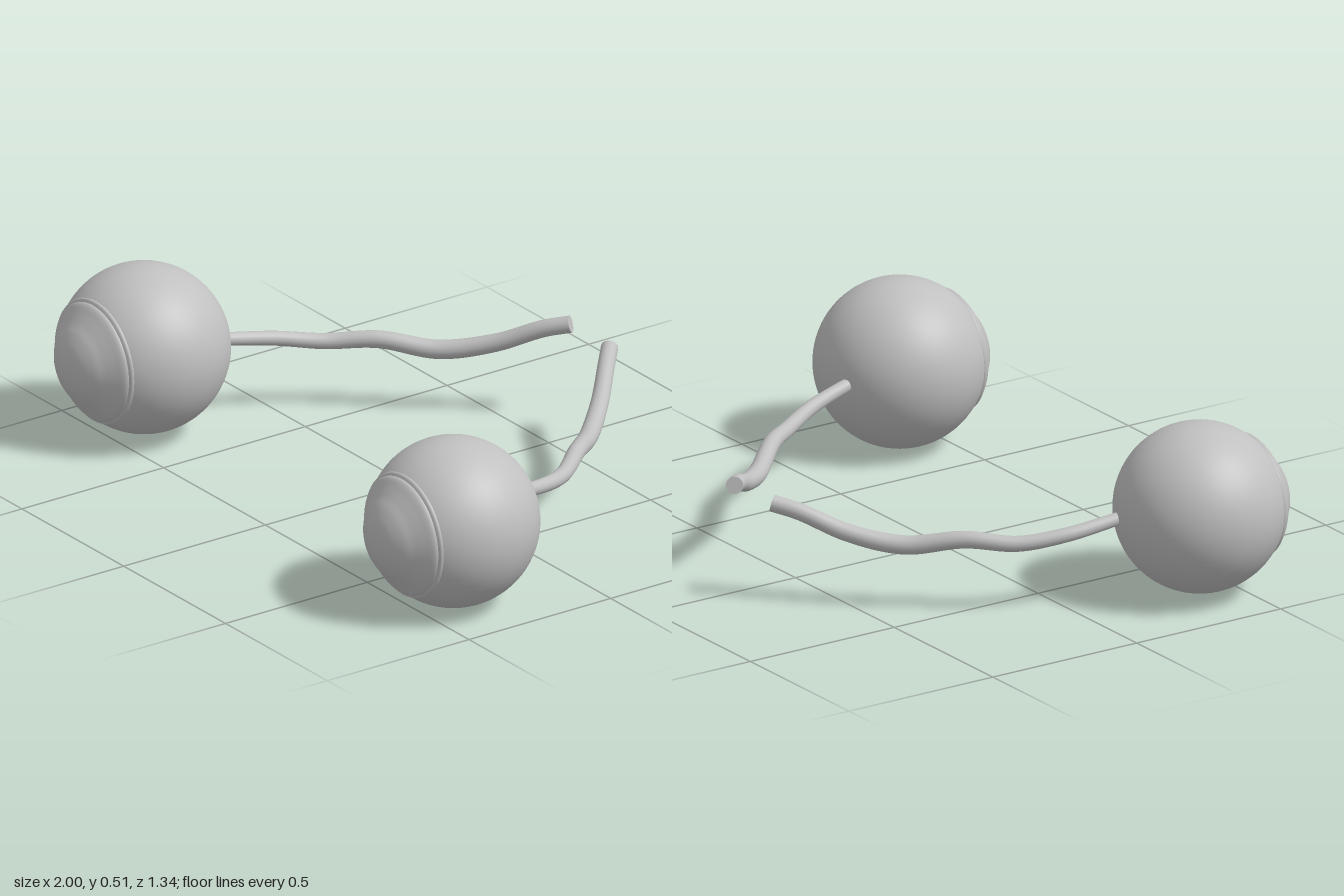
import * as THREE from 'three';

const grey = new THREE.MeshStandardMaterial({ color: 0xc0c0c0 });
grey.name = 'grey';

// Surface of revolution whose axis points to +z; profile is [radius, z]
function turned(profile, name) {
  const pts = profile.map(([r, z]) => new THREE.Vector2(r, z));
  const geo = new THREE.LatheGeometry(pts, 64);
  geo.rotateX(Math.PI / 2);
  const mesh = new THREE.Mesh(geo, grey);
  mesh.name = name;
  return mesh;
}

// Ball, thin rim and stepped cornea dome
function makeEye(name) {
  const eye = new THREE.Group();
  eye.name = name;
  const ball = [];
  for (let i = 0; i <= 36; i++) {
    const a = -Math.PI / 2 + (i / 36) * (Math.PI / 2 + 0.8);
    ball.push([Math.max(0, 0.25 * Math.cos(a)), 0.25 * Math.sin(a)]);
  }
  eye.add(turned(ball, 'eyeball'));
  eye.add(turned([[0.17, 0.160], [0.184, 0.163], [0.187, 0.170], [0.184, 0.178], [0.165, 0.183]], 'corneaRim'));

  const dome = new THREE.SplineCurve([
    [0.178, 0.172], [0.174, 0.188], [0.150, 0.207], [0.125, 0.226],
    [0.100, 0.246], [0.065, 0.265], [0.030, 0.274], [0, 0.276],
  ].map(([r, z]) => new THREE.Vector2(r, z)));
  eye.add(turned(dome.getPoints(32).map((p) => [Math.max(0, p.x), p.y]), 'cornea'));
  return eye;
}

// Wavy nerve cord that thickens a little towards its cut end
function makeNerve(points, name) {
  const nerve = new THREE.Group();
  nerve.name = name;
  const path = new THREE.CatmullRomCurve3(points.map((p) => new THREE.Vector3(...p)));
  const steps = 64, sides = 20;
  const radius = (t) => 0.019 + 0.006 * Math.min(1, t * 2.2) + 0.003 * Math.exp(-(((t - 0.65) / 0.15) ** 2));
  const geo = new THREE.TubeGeometry(path, steps, 1, sides, false);
  const pos = geo.attributes.position;
  const v = new THREE.Vector3();
  for (let i = 0; i <= steps; i++) {
    const c = path.getPointAt(i / steps);
    for (let j = 0; j <= sides; j++) {
      const k = i * (sides + 1) + j;
      v.fromBufferAttribute(pos, k).sub(c).multiplyScalar(radius(i / steps)).add(c);
      pos.setXYZ(k, v.x, v.y, v.z);
    }
  }
  const cord = new THREE.Mesh(geo, grey);
  cord.name = 'nerveCord';
  const cap = new THREE.Mesh(new THREE.CircleGeometry(radius(1), sides), grey);
  cap.name = 'nerveEnd';
  cap.position.copy(path.getPointAt(1));
  cap.quaternion.setFromUnitVectors(new THREE.Vector3(0, 0, 1), path.getTangentAt(1));
  nerve.add(cord, cap);
  return nerve;
}

export function createModel() {
  const model = new THREE.Group();
  model.name = 'eyePair';

  const rightEye = makeEye('rightEye');
  rightEye.position.set(-0.75, 0.264, 0.39);
  const leftEye = makeEye('leftEye');
  leftEye.position.set(0.75, 0.254, 0.376);

  const rightNerve = makeNerve([
    [-0.685, 0.26, 0.19], [-0.675, 0.25, 0.13], [-0.648, 0.228, 0], [-0.585, 0.208, -0.13],
    [-0.49, 0.217, -0.25], [-0.375, 0.193, -0.38], [-0.265, 0.222, -0.50],
    [-0.165, 0.277, -0.60], [-0.108, 0.297, -0.655],
  ], 'rightNerve');
  const leftNerve = makeNerve([
    [0.685, 0.26, 0.19], [0.675, 0.25, 0.13], [0.645, 0.226, 0], [0.58, 0.206, -0.13],
    [0.485, 0.215, -0.25], [0.365, 0.190, -0.38], [0.25, 0.220, -0.50],
    [0.143, 0.272, -0.60], [0.083, 0.293, -0.655],
  ], 'leftNerve');

  model.add(rightEye, leftEye, rightNerve, leftNerve);
  return model;
}
